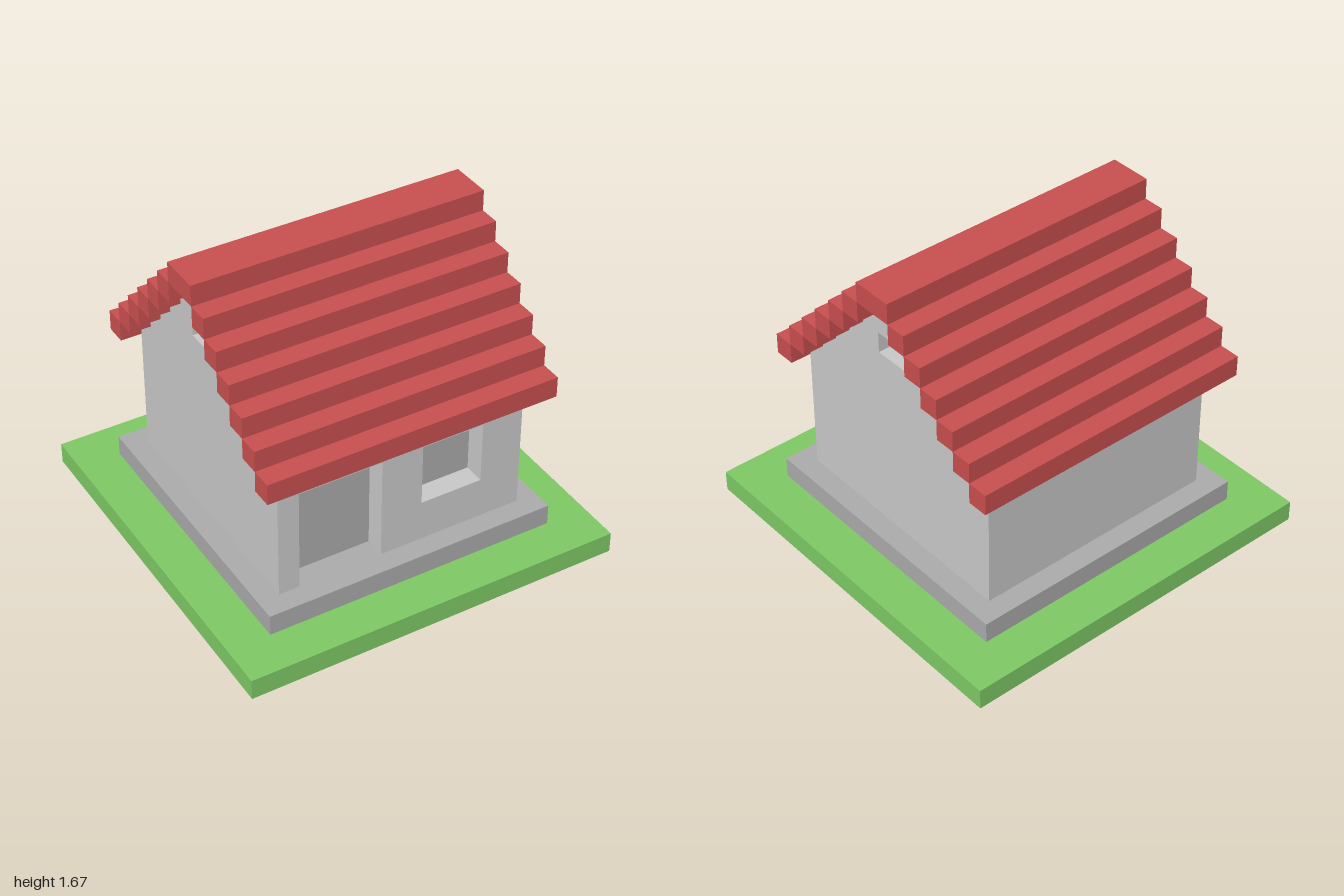
import * as THREE from 'three';

const U = 1 / 9; // one block

export function createModel() {
  const mat = (name, color) => {
    const m = new THREE.MeshStandardMaterial({ color });
    m.name = name;
    return m;
  };
  const grass = mat('grass green', 0x7eca66);
  const stone = mat('stone grey', 0xababab);
  const plaster = mat('plaster grey', 0xc9c9c9);
  const tile = mat('tile red', 0xc94f4f);

  const house = new THREE.Group();
  house.name = 'house';

  const add = (name, geometry, material, parent = house) => {
    const mesh = new THREE.Mesh(geometry, material);
    mesh.name = name;
    parent.add(mesh);
    return mesh;
  };
  // Box given by its extents in blocks
  const block = (name, [x0, x1], [y0, y1], [z0, z1], material, parent) =>
    add(name, new THREE.BoxGeometry((x1 - x0) * U, (y1 - y0) * U, (z1 - z0) * U), material, parent)
      .position.set((x0 + x1) / 2 * U, (y0 + y1) / 2 * U, (z0 + z1) / 2 * U);
  const points = (list) => list.map(([x, y]) => new THREE.Vector2(x * U, y * U));
  const rect = (x0, x1, y0, y1) => new THREE.Path(points([[x0, y0], [x1, y0], [x1, y1], [x0, y1]]));
  const slab = (shape) => new THREE.ExtrudeGeometry(shape, { depth: U, bevelEnabled: false });

  // Ground and plinth
  block('lawn', [-9, 9], [0, 1], [-9, 9], grass);
  block('plinth', [-7, 7], [1, 2], [-7, 7], stone);

  // Front wall with doorway notch and window hole
  const front = new THREE.Shape(points([[-1, 2], [5, 2], [5, 9], [-5, 9], [-5, 7], [-1, 7]]));
  front.holes.push(rect(1, 4, 4, 7));
  add('frontWall', slab(front), plaster).position.z = 5 * U;
  block('door', [-5, -1], [2, 7], [4, 5], stone);
  block('windowPane', [1, 4], [4, 7], [4, 5], stone);

  block('backWall', [-5, 5], [2, 9], [-6, -5], plaster);

  // Stepped gable ends with a small attic opening
  const right = [[6, 2]];
  for (let i = 0; i < 6; i++) {
    right.push([6 - i, 9 + i]);
    if (i < 5) right.push([5 - i, 9 + i]);
  }
  const left = right.map(([x, y]) => [-x, y]).reverse();
  const gable = new THREE.Shape(points([...right, ...left]));
  gable.holes.push(rect(-1, 1, 11, 12));
  const gableGeometry = slab(gable).rotateY(Math.PI / 2);
  for (const side of [1, -1]) {
    const name = side > 0 ? 'left' : 'right';
    add(name + 'Gable', gableGeometry, plaster).position.x = (side > 0 ? 5 : -6) * U;
    block(name + 'AtticPane', side > 0 ? [4, 5] : [-5, -4], [11, 12], [-1, 1], stone);
  }

  // Stepped roof courses and ridge
  const roof = new THREE.Group();
  roof.name = 'roof';
  house.add(roof);
  for (let i = 0; i < 6; i++) {
    block('frontRoofCourse', [-7, 7], [8 + i, 9 + i], [6 - i, 7 - i], tile, roof);
    block('backRoofCourse', [-7, 7], [8 + i, 9 + i], [i - 7, i - 6], tile, roof);
  }
  block('roofRidge', [-7, 7], [14, 15], [-1, 1], tile, roof);

  return house;
}
